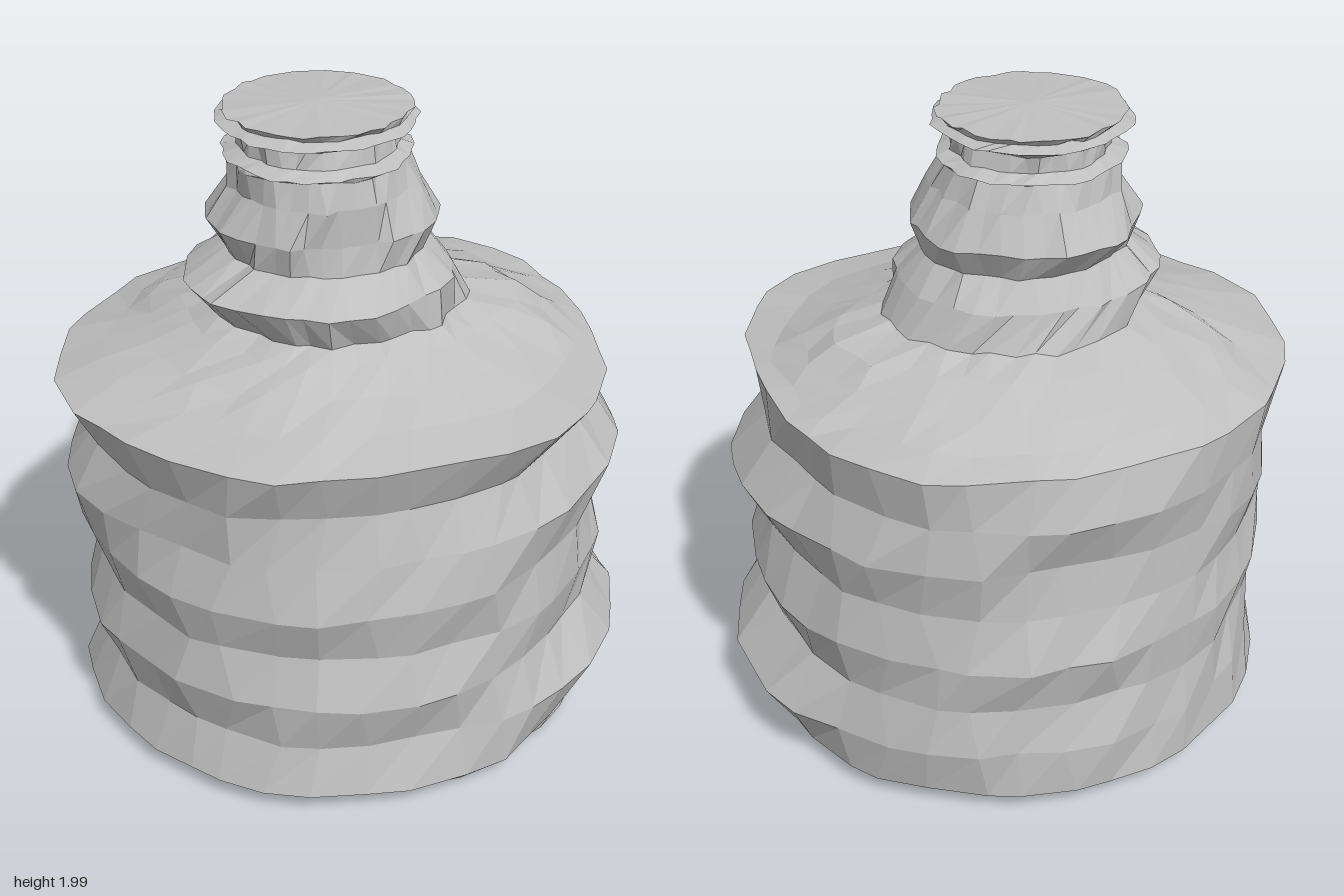
import * as THREE from 'three';

const SEGMENTS = 36;

// A ring of the skin: radii are spread evenly round its centre, from +x through +z
const ring = (y, radii, rough, cx = 0, cz = 0, tilt = 0) => ({ y, radii, rough, cx, cz, tilt });

// Round foot below the body: [height, radius]
const foot = [[0.012, 0.67], [0.03, 0.78]].map(([y, r]) => ring(y, [r], 0.018));

// Evenly spaced body ridges, lowest first: eight radii each
const body = [
  [0.82, 0.80, 0.84, 0.86, 0.88, 0.85, 0.84, 0.84],
  [0.91, 0.86, 0.79, 0.82, 0.82, 0.84, 0.84, 0.85],
  [0.77, 0.78, 0.84, 0.86, 0.86, 0.80, 0.81, 0.82],
  [0.84, 0.82, 0.78, 0.82, 0.82, 0.84, 0.84, 0.85],
  [0.77, 0.77, 0.82, 0.86, 0.86, 0.82, 0.81, 0.82],
  [0.87, 0.83, 0.78, 0.82, 0.90, 0.84, 0.78, 0.84],
  [0.76, 0.73, 0.74, 0.82, 0.82, 0.83, 0.83, 0.82],
  [0.76, 0.84, 0.79, 0.86, 0.91, 0.88, 0.80, 0.85],
].map((radii, i) => ring(0.07 + 0.16 * i, radii, 0.018, 0, 0, i > 3 ? 0.02 : 0));

// Sloping shoulder: height, then eight radii
const shoulder = [
  [1.225, 0.71, 0.68, 0.64, 0.70, 0.76, 0.75, 0.72, 0.70],
  [1.27, 0.63, 0.56, 0.50, 0.56, 0.62, 0.65, 0.62, 0.60],
  [1.325, 0.55, 0.42, 0.40, 0.44, 0.50, 0.52, 0.50, 0.48],
  [1.36, 0.38, 0.33, 0.33, 0.38, 0.42, 0.43, 0.41, 0.36],
].map(([y, ...radii]) => ring(y, radii, 0.022));

// Ridged neck, set a little off centre: height, then four radii
const neck = [
  [1.47, 0.41, 0.40, 0.42, 0.35],
  [1.56, 0.34, 0.30, 0.28, 0.30],
  [1.65, 0.37, 0.29, 0.34, 0.36],
  [1.76, 0.30, 0.29, 0.27, 0.29],
  [1.84, 0.27, 0.26, 0.27, 0.26],
].map(([y, ...radii]) => ring(y, radii, 0.016, -0.09, -0.01));

// Double-flanged lip: [height, radius]
const lip = [[1.85, 0.285], [1.87, 0.24], [1.92, 0.235], [1.95, 0.3], [1.965, 0.26], [1.985, 0.28]]
  .map(([y, r]) => ring(y, [r], 0.012, -0.09, -0.02));

const rings = [...foot, ...body, ...shoulder, ...neck, ...lip];

// Repeatable noise in -1..1
function noise(i, j) {
  const s = Math.sin(i * 127.1 + j * 311.7 + 4.3) * 43758.5453;
  return 2 * (s - Math.floor(s)) - 1;
}

// Smooth blend between the radii of a ring; turn runs from 0 to 1
function radiusAt(radii, turn) {
  const n = radii.length;
  const t = (turn + 1) * n;
  const k = Math.floor(t);
  const blend = (1 - Math.cos((t - k) * Math.PI)) / 2;
  return THREE.MathUtils.lerp(radii[k % n], radii[(k + 1) % n], blend);
}

// Corner j of ring i, roughened in angle, radius and height
function corner(i, j) {
  const { y, radii, rough, cx, cz, tilt } = rings[i];
  const k = j % SEGMENTS;
  const turn = (k + 0.25 * noise(i + 50, k)) / SEGMENTS;
  const a = turn * Math.PI * 2;
  const wave = 0.5 * Math.sin(3 * a + i * 1.9) * Math.sin(2 * a);
  const radius = radiusAt(radii, turn) + rough * (0.8 * noise(i, k) + wave);
  const x = cx + radius * Math.cos(a);
  const z = cz + radius * Math.sin(a);
  return [x, y + tilt * x + 0.3 * rough * noise(k, i), z];
}

// Mesh with one flat normal per triangle
function facetedMesh(name, points, material) {
  const geometry = new THREE.BufferGeometry();
  geometry.setAttribute('position', new THREE.Float32BufferAttribute(points, 3));
  geometry.computeVertexNormals();
  const mesh = new THREE.Mesh(geometry, material);
  mesh.name = name;
  return mesh;
}

// Skin between two rings
function section(name, first, last, material) {
  const points = [];
  for (let i = first; i < last; i++) {
    for (let j = 0; j < SEGMENTS; j++) {
      const a = corner(i, j), b = corner(i, j + 1);
      const c = corner(i + 1, j), d = corner(i + 1, j + 1);
      points.push(...a, ...c, ...b, ...b, ...c, ...d);
    }
  }
  return facetedMesh(name, points, material);
}

// Fan closing a ring, facing up or down
function cap(name, i, height, facesUp, material) {
  const points = [];
  for (let j = 0; j < SEGMENTS; j++) {
    const a = corner(i, j), b = corner(i, j + 1);
    points.push(rings[i].cx, height, rings[i].cz, ...(facesUp ? [...b, ...a] : [...a, ...b]));
  }
  return facetedMesh(name, points, material);
}

export function createModel() {
  const stone = new THREE.MeshStandardMaterial({ color: 0xbfbfbf });
  stone.name = 'stone grey';

  const bodyStart = foot.length;
  const bodyEnd = bodyStart + body.length - 1;
  const shoulderEnd = bodyEnd + shoulder.length;
  const neckEnd = shoulderEnd + neck.length;
  const top = rings.length - 1;

  const model = new THREE.Group();
  model.name = 'roughBottle';
  model.add(
    cap('underside', 0, 0.01, false, stone),
    section('foot', 0, bodyStart, stone),
    section('body', bodyStart, bodyEnd, stone),
    section('shoulder', bodyEnd, shoulderEnd, stone),
    section('neck', shoulderEnd, neckEnd, stone),
    section('lip', neckEnd, top, stone),
    cap('topFace', top, 1.995, true, stone),
  );
  return model;
}
